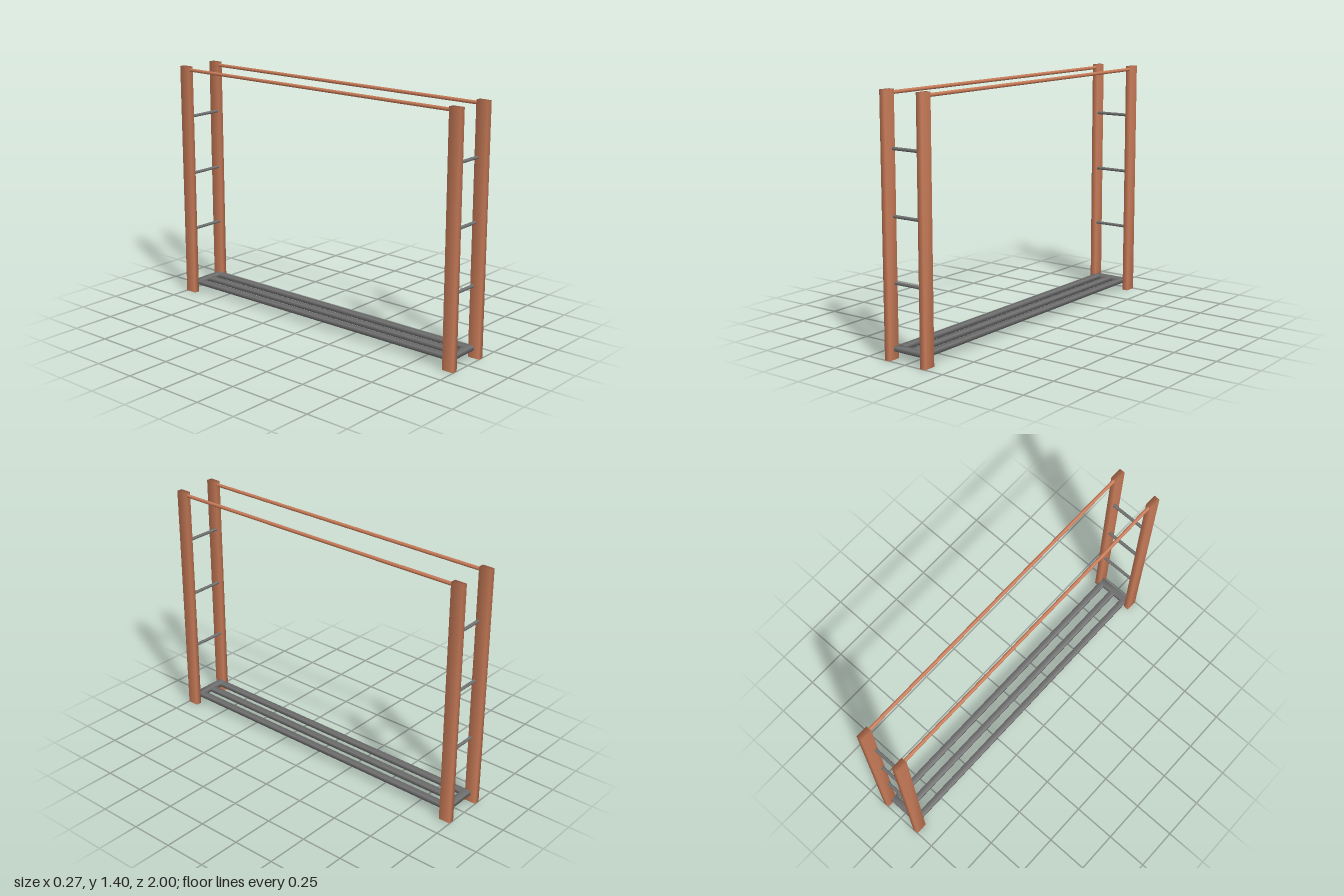
import * as THREE from 'three';
import { mergeVertices } from 'three/addons/utils/BufferGeometryUtils.js';

// Box with normals shared across its edges, for a soft-shaded look
function softBox(w, h, d) {
  const box = new THREE.BoxGeometry(w, h, d);
  box.deleteAttribute('normal');
  box.deleteAttribute('uv');
  const merged = mergeVertices(box);
  merged.computeVertexNormals();
  return merged;
}

export function createModel() {
  const model = new THREE.Group();
  model.name = 'firewoodRack';

  const copper = new THREE.MeshStandardMaterial({ color: 0xc87b58 });
  copper.name = 'copper wood';
  const steel = new THREE.MeshStandardMaterial({ color: 0x707070 });
  steel.name = 'grey steel';

  function add(name, geometry, material, x, y, z) {
    const mesh = new THREE.Mesh(geometry, material);
    mesh.name = name;
    mesh.position.set(x, y, z);
    model.add(mesh);
  }

  const postX = 0.12, postZ = 0.965, endZ = 0.945;
  const postGeo = softBox(0.034, 1.4, 0.07);
  const railGeo = new THREE.CylinderGeometry(0.01, 0.01, 1.87, 12).rotateX(Math.PI / 2);
  const rungGeo = new THREE.CylinderGeometry(0.009, 0.009, 0.22, 12).rotateZ(Math.PI / 2);
  const crossGeo = softBox(0.21, 0.025, 0.042);
  const slatGeo = softBox(0.036, 0.024, 1.86);

  // Corner posts and the long top rails
  for (const sx of [-1, 1]) {
    const side = sx > 0 ? 'left' : 'right';
    for (const sz of [-1, 1]) {
      add(side + (sz > 0 ? 'FrontPost' : 'BackPost'), postGeo, copper, sx * postX, 0.7, sz * postZ);
    }
    add(side + 'TopRail', railGeo, copper, sx * postX, 1.381, 0);
  }

  // Ladder ends: rungs above a flat crosspiece
  for (const sz of [-1, 1]) {
    const end = sz > 0 ? 'front' : 'back';
    add(end + 'Crosspiece', crossGeo, steel, 0, 0.058, sz * endZ);
    [0.405, 0.753, 1.101].forEach((y, i) => add(end + 'Rung' + (i + 1), rungGeo, steel, 0, y, sz * endZ));
  }

  // Floor slats
  [-0.087, 0, 0.087].forEach((x, i) => add('floorSlat' + (i + 1), slatGeo, steel, x, 0.058, 0));

  return model;
}
